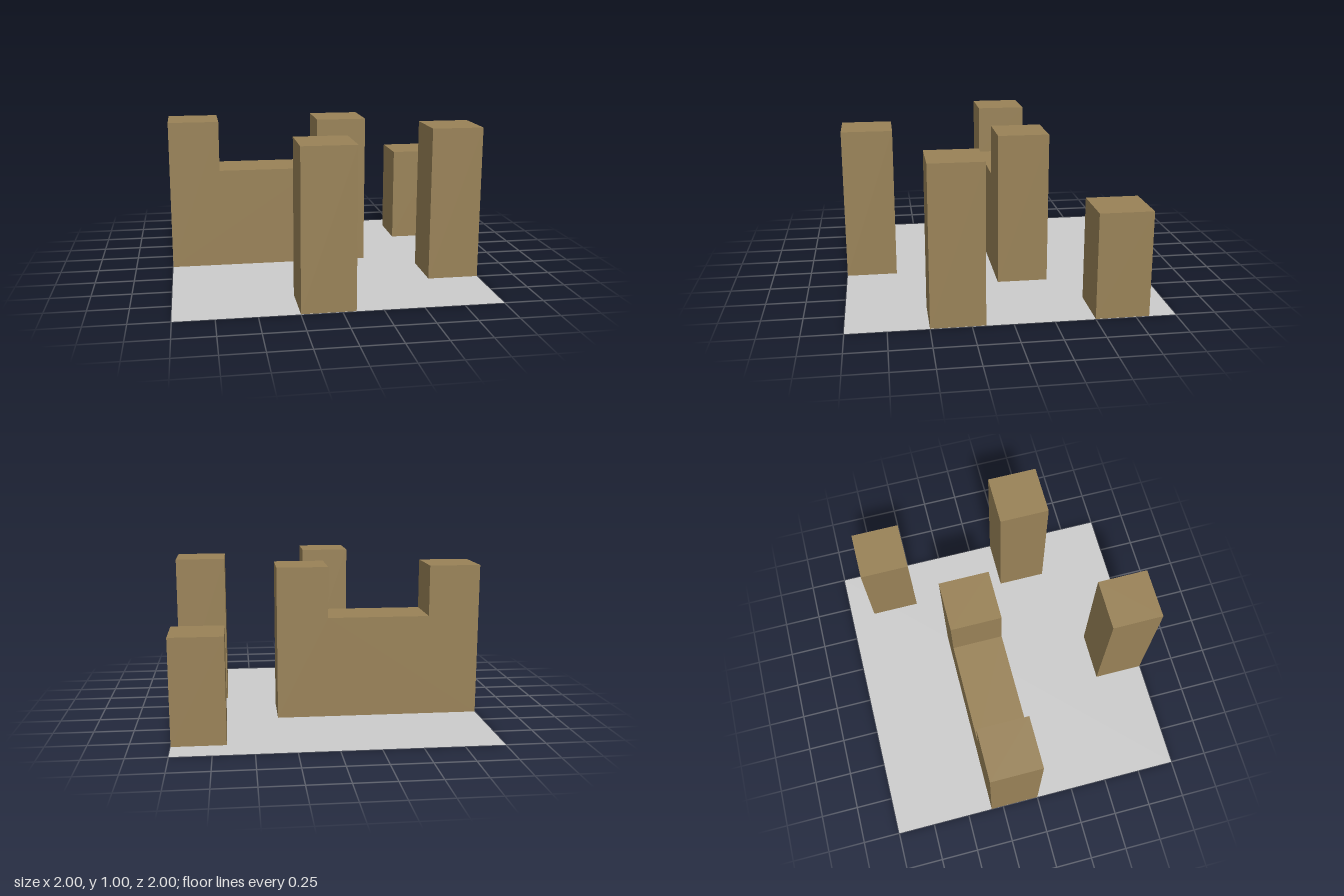
import * as THREE from 'three';

export function createModel() {
  const model = new THREE.Group();

  const stone = new THREE.MeshStandardMaterial({ color: 0x998257 });
  stone.name = 'tan block';
  const ground = new THREE.MeshStandardMaterial({ color: 0xcccccc, side: THREE.DoubleSide });
  ground.name = 'grey base';

  const S = 1 / 3; // side of every pillar
  const LIFT = 0.001; // keeps block undersides clear of the base sheet

  // Flat square base
  const base = new THREE.Mesh(new THREE.PlaneGeometry(2, 2).rotateX(-Math.PI / 2), ground);
  base.name = 'base';
  model.add(base);

  // Square pillar given by its lowest x and z
  function addPillar(name, x, z, height) {
    const geometry = new THREE.BoxGeometry(S, height - LIFT, S);
    const pillar = new THREE.Mesh(geometry, stone);
    pillar.position.set(x + S / 2, (height + LIFT) / 2, z + S / 2);
    pillar.name = name;
    model.add(pillar);
  }
  addPillar('frontPillar', -0.25, 2 * S, 1);
  addPillar('sidePillar', 2 * S, S / 2, 1);
  addPillar('shortBackPillar', 2 * S, -2.5 * S, 2 * S);

  // Wall with a raised tower at each end, cut as one U-shaped outline
  const outline = new THREE.Shape([
    [-1, LIFT], [S, LIFT], [S, 1], [0, 1],
    [0, 2 * S], [-2 * S, 2 * S], [-2 * S, 1], [-1, 1],
  ].map(([x, y]) => new THREE.Vector2(x, y)));
  const wall = new THREE.Mesh(
    new THREE.ExtrudeGeometry(outline, { depth: S, bevelEnabled: false }), stone);
  wall.position.z = -S;
  wall.name = 'towerWall';
  model.add(wall);

  return model;
}
